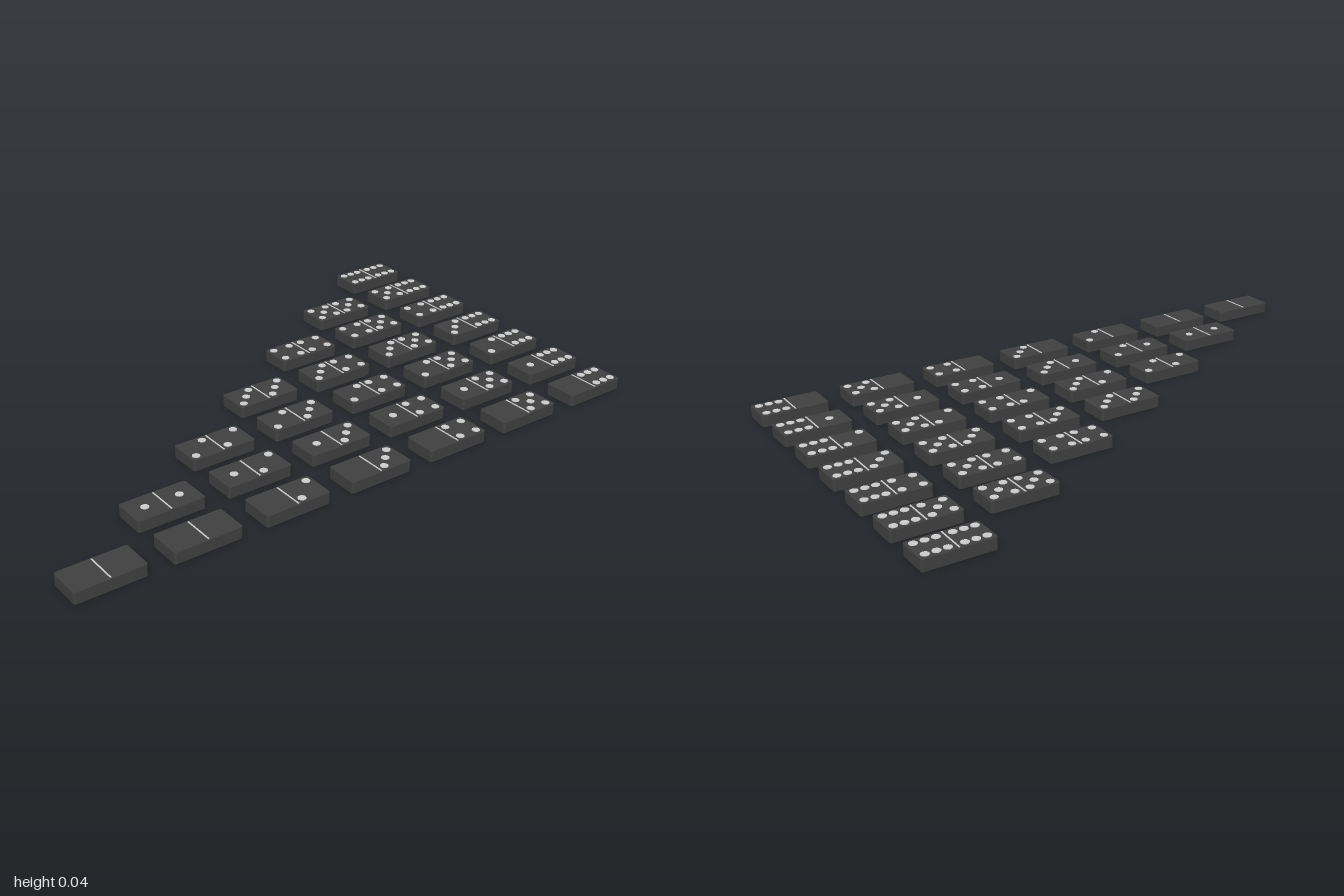
import * as THREE from 'three';

const W = 0.109, L = 0.218, H = 0.036;
const STEP_X = 0.1813, STEP_Z = 0.297;

// Tile body: a solid slab with rounded upright corners, resting on y = 0
function bodyGeometry(r) {
  const s = new THREE.Shape(), x = W / 2 - r, y = L / 2 - r;
  s.absarc(x, -y, r, -Math.PI / 2, 0);
  s.absarc(x, y, r, 0, Math.PI / 2);
  s.absarc(-x, y, r, Math.PI / 2, Math.PI);
  s.absarc(-x, -y, r, Math.PI, Math.PI * 1.5);
  const g = new THREE.ExtrudeGeometry(s, { depth: H, bevelEnabled: false, curveSegments: 5 });
  return g.rotateX(-Math.PI / 2);
}

// Pip positions on a 3 x 3 grid, as [column, row]
const A = [-1, -1], B = [1, -1], C = [-1, 1], D = [1, 1], M = [0, 0], E = [-1, 0], F = [1, 0];
const PIPS = [[], [M], [A, D], [A, M, D], [A, B, C, D], [A, B, C, D, M], [A, B, C, D, E, F]];

export function createModel() {
  const root = new THREE.Group();
  root.name = 'dominoSet';

  const dark = new THREE.MeshStandardMaterial({ color: 0x404040 });
  const light = new THREE.MeshStandardMaterial({ color: 0xcccccc });

  const bodyGeo = bodyGeometry(0.008);
  const pipGeo = new THREE.CylinderGeometry(0.0125, 0.0125, 0.004, 20);
  const lineGeo = new THREE.BoxGeometry(0.1, 0.004, 0.004);

  function add(group, name, geo, mat, x = 0, y = 0, z = 0) {
    const m = new THREE.Mesh(geo, mat);
    m.name = name;
    m.position.set(x, y, z);
    group.add(m);
  }

  function tile(upper, lower) {
    const g = new THREE.Group();
    g.name = `tile_${upper}_${lower}`;
    add(g, 'body', bodyGeo, dark);
    add(g, 'divider', lineGeo, light, 0, H, 0);
    [[upper, -0.056], [lower, 0.056]].forEach(([n, z]) => {
      for (const [c, r] of PIPS[n]) add(g, 'pip', pipGeo, light, c * 0.033, H, z + r * 0.032);
    });
    return g;
  }

  // Triangular layout: each row starts one column further along
  for (let row = 0; row < 7; row++) {
    for (let col = row; col < 7; col++) {
      // The last tile of the ones row is left blank
      const upper = row === 5 && col === 6 ? 0 : 6 - row;
      const t = tile(upper, 6 - col);
      t.position.set((col - 3) * STEP_X, 0, (row - 3) * STEP_Z);
      root.add(t);
    }
  }
  return root;
}
